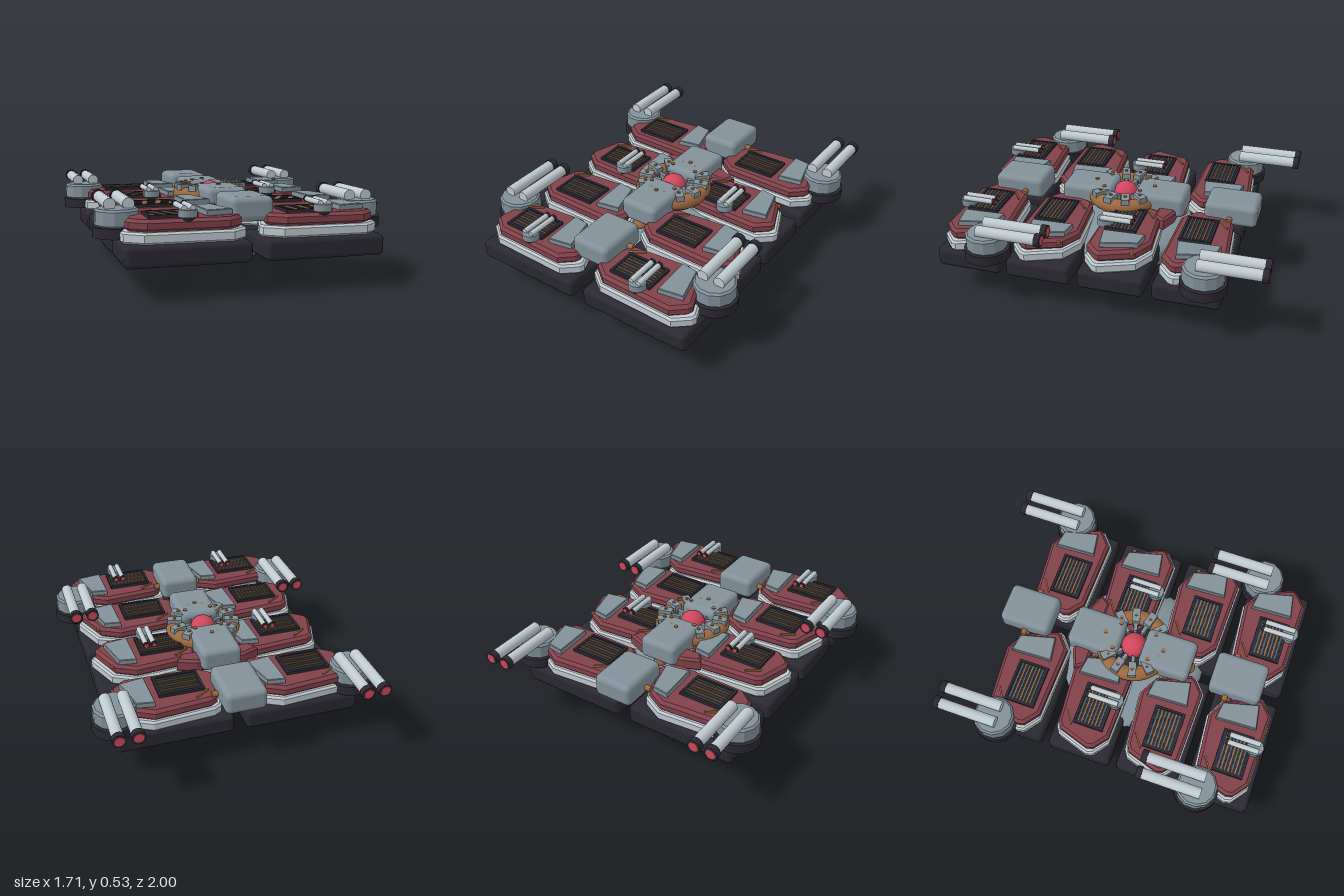
import * as THREE from 'three';
import { RoundedBoxGeometry } from 'three/addons/geometries/RoundedBoxGeometry.js';

const mat = (name, color, flat = false) => {
  const m = new THREE.MeshStandardMaterial({ color, flatShading: flat });
  m.name = name;
  return m;
};

export function createModel() {
  const model = new THREE.Group();
  const dark = mat('charcoal', 0x2a2931);
  const pale = mat('pale metal', 0xc0cacf);
  const red = mat('maroon', 0x81414b);
  const grey = mat('blue grey', 0x82919a);
  const copper = mat('copper', 0x9c6a40);
  const glow = mat('bright red', 0xd0475c);
  const steel = mat('dark steel', 0x56626a);

  const add = (parent, name, geo, material, x = 0, y = 0, z = 0) => {
    const m = new THREE.Mesh(geo, material);
    m.name = name;
    m.position.set(x, y, z);
    parent.add(m);
    return m;
  };
  const group = (name, x = 0, y = 0, z = 0) => {
    const g = new THREE.Group();
    g.name = name;
    g.position.set(x, y, z);
    model.add(g);
    return g;
  };
  const box = (w, h, d) => new THREE.BoxGeometry(w, h, d);
  const cyl = (r, h, n = 20, r2 = r) => new THREE.CylinderGeometry(r, r2, h, n);
  const cylZ = (r, h, n = 20) => cyl(r, h, n).rotateX(Math.PI / 2);

  // Horizontal plate from an [x, z] outline, standing on y = 0, with bevelled edges
  const plate = (pts, height, bevel) => {
    const shape = new THREE.Shape(pts.map(([x, z]) => new THREE.Vector2(x, -z)));
    const geo = new THREE.ExtrudeGeometry(shape, {
      depth: height - 2 * bevel, bevelEnabled: bevel > 0, bevelSize: bevel,
      bevelThickness: bevel, bevelOffset: -bevel, bevelSegments: 1,
    });
    return geo.rotateX(-Math.PI / 2).translate(0, bevel, 0);
  };

  const outline = [[-0.32, 0.05], [-0.26, -0.14], [-0.22, -0.165], [0.12, -0.195], [0.24, -0.13],
    [0.32, 0.07], [0.31, 0.10], [0.23, 0.17], [-0.22, 0.16], [-0.31, 0.09]];
  const slabGeo = new RoundedBoxGeometry(0.70, 0.12, 0.40, 3, 0.028);
  const paleGeo = plate(outline.map(([x, z]) => [x * 1.085, z * 1.05]), 0.065, 0.012);
  const redGeo = plate(outline, 0.07, 0.018);
  const paneGeo = plate([[0.105, -0.15], [0.21, -0.135], [0.265, 0.08], [0.115, 0.105]], 0.035, 0.004);

  // Eight armoured tiles
  for (const z of [-0.54, -0.09, 0.355, 0.795]) {
    for (const x of [-0.388, 0.388]) {
      const t = group('armourTile', x, 0, z);
      add(t, 'baseSlab', slabGeo, dark, 0, 0.24, 0);
      add(t, 'paleSkirt', paleGeo, pale, 0, 0.298, 0);
      add(t, 'hullPlate', redGeo, red, 0, 0.36, 0);
      add(t, 'roofPanel', paneGeo, grey, 0, 0.428, 0);
      add(t, 'grilleBed', box(0.27, 0.012, 0.19), dark, -0.07, 0.434, 0.017);
      for (const s of [-1, 1]) {
        add(t, 'grilleFrameSide', box(0.015, 0.02, 0.19), dark, -0.07 + s * 0.128, 0.438, 0.017);
        add(t, 'grilleFrameEnd', box(0.27, 0.02, 0.015), dark, -0.07, 0.438, 0.017 + s * 0.088);
      }
      for (let i = 0; i < 7; i++) {
        add(t, 'grilleSlat', box(0.235, 0.008, 0.009), i % 2 ? copper : steel,
          -0.07, 0.442, 0.017 + (i - 3) * 0.022);
      }
      add(t, 'trimRod', box(0.10, 0.012, 0.01), copper, -0.18, 0.436, -0.11).rotation.y = 0.6;
      add(t, 'bolt', cyl(0.012, 0.015, 10), copper, -0.245, 0.41, -0.13);
      add(t, 'bolt', cyl(0.012, 0.015, 10), copper, 0.25, 0.41, -0.11);
    }
  }

  // Large corner turrets with two barrels each, pointing to the rear
  for (const z of [-0.635, 0.665]) {
    for (const s of [-1, 1]) {
      const t = group('cornerTurret', s * 0.718, 0, z);
      add(t, 'turretRing', cyl(0.135, 0.06, 32), dark, 0, 0.335, 0);
      const bodyPts = [];
      for (let i = 0; i < 12; i++) {
        const a = (i + 0.5) * Math.PI / 6;
        bodyPts.push([Math.cos(a) * 0.124, Math.sin(a) * -0.124]);
      }
      add(t, 'turretBody', plate(bodyPts.reverse(), 0.10, 0.012), grey, 0, 0.362, 0);
      for (const b of [-0.052, 0.052]) {
        const x = b - s * 0.008;
        add(t, 'barrel', cylZ(0.034, 0.37), pale, x, 0.485, -0.15);
        add(t, 'muzzle', cylZ(0.04, 0.035), dark, x, 0.485, -0.345);
        add(t, 'muzzleGlow', cylZ(0.028, 0.004), glow, x, 0.485, -0.363);
      }
    }
  }

  // Small twin guns on the first and third rows
  for (const z of [0.035, 0.925]) {
    for (const s of [-1, 1]) {
      const g = group('smallGun', s * 0.386, 0, z);
      add(g, 'gunMount', cyl(0.045, 0.035, 16, 0.03), dark, 0, 0.425, 0);
      add(g, 'gunBase', cyl(0.052, 0.04, 10), grey, 0, 0.455, 0);
      for (const x of [-0.024, 0.024]) {
        add(g, 'gunBarrel', cylZ(0.016, 0.19, 14), pale, x, 0.483, -0.07);
        add(g, 'gunMuzzle', cylZ(0.019, 0.016, 14), dark, x, 0.483, -0.172);
        add(g, 'gunGlow', cylZ(0.013, 0.003, 14), glow, x, 0.483, -0.181);
      }
    }
  }

  // Belly dome: deep below, shallow above
  const bowl = [];
  for (let i = 0; i <= 32; i++) {
    const a = -Math.PI / 2 + (i / 32) * Math.PI;
    bowl.push(new THREE.Vector2(Math.max(0, Math.cos(a) * 0.48), Math.sin(a) * (a < 0 ? 0.25 : 0.12)));
  }
  add(model, 'bellyDome', new THREE.LatheGeometry(bowl, 56), grey, 0, 0.25, 0.02).scale.z = 0.95;

  // Spine housings and the copper rods beneath them
  const housing = new RoundedBoxGeometry(0.25, 0.14, 0.325, 4, 0.035);
  for (const z of [-0.672, -0.22, 0.245, 0.705]) add(model, 'spineHousing', housing, grey, 0, 0.45, z);
  for (const z of [-0.67, 0.66]) {
    add(model, 'crossRod', cyl(0.018, 0.32, 12).rotateZ(Math.PI / 2), copper, 0, 0.43, z);
  }
  add(model, 'spineRod', new THREE.CapsuleGeometry(0.045, 0.72, 6, 20).rotateX(Math.PI / 2),
    copper, 0, 0.37, 0.022).scale.y = 0.7;
  add(model, 'rearCowl', plate([[-0.26, -0.29], [-0.15, -0.335], [0.15, -0.335], [0.26, -0.29],
    [0.22, -0.22], [-0.22, -0.22]], 0.085, 0.015), red, 0, 0.355, 0);

  // Central reactor: copper ring, clamps, fins and glowing core
  const core = group('reactor', 0, 0, 0.022);
  add(core, 'reactorFloor', cyl(0.17, 0.06, 40), dark, 0, 0.40, 0);
  add(core, 'copperRing', new THREE.TorusGeometry(0.19, 0.047, 14, 56).rotateX(Math.PI / 2),
    copper, 0, 0.447, 0);
  add(core, 'glowingCore', new THREE.SphereGeometry(0.08, 28, 20), glow, 0, 0.445, 0);
  for (let i = 0; i < 12; i++) {
    const arm = new THREE.Group();
    arm.name = 'reactorArm';
    arm.rotation.y = (i + 0.5) * Math.PI / 6;
    core.add(arm);
    add(arm, 'clamp', box(0.09, 0.05, 0.05), grey, 0.18, 0.487, 0);
    add(arm, 'clampBolt', cyl(0.01, 0.01, 10), copper, 0.18, 0.515, 0);
    add(arm, 'innerFin', box(0.055, 0.05, 0.022), grey, 0.112, 0.455, 0);
    add(arm, 'finBlock', box(0.03, 0.04, 0.03), steel, 0.14, 0.455, 0);
  }
  // Bolts on the two inner housings
  for (const s of [-1, 1]) {
    for (const [x, z] of [[0, 0.19], [-0.085, 0.115], [0.085, 0.115]]) {
      add(core, 'housingBolt', cyl(0.013, 0.012, 12), copper, x, 0.52, s * z);
    }
  }
  return model;
}
